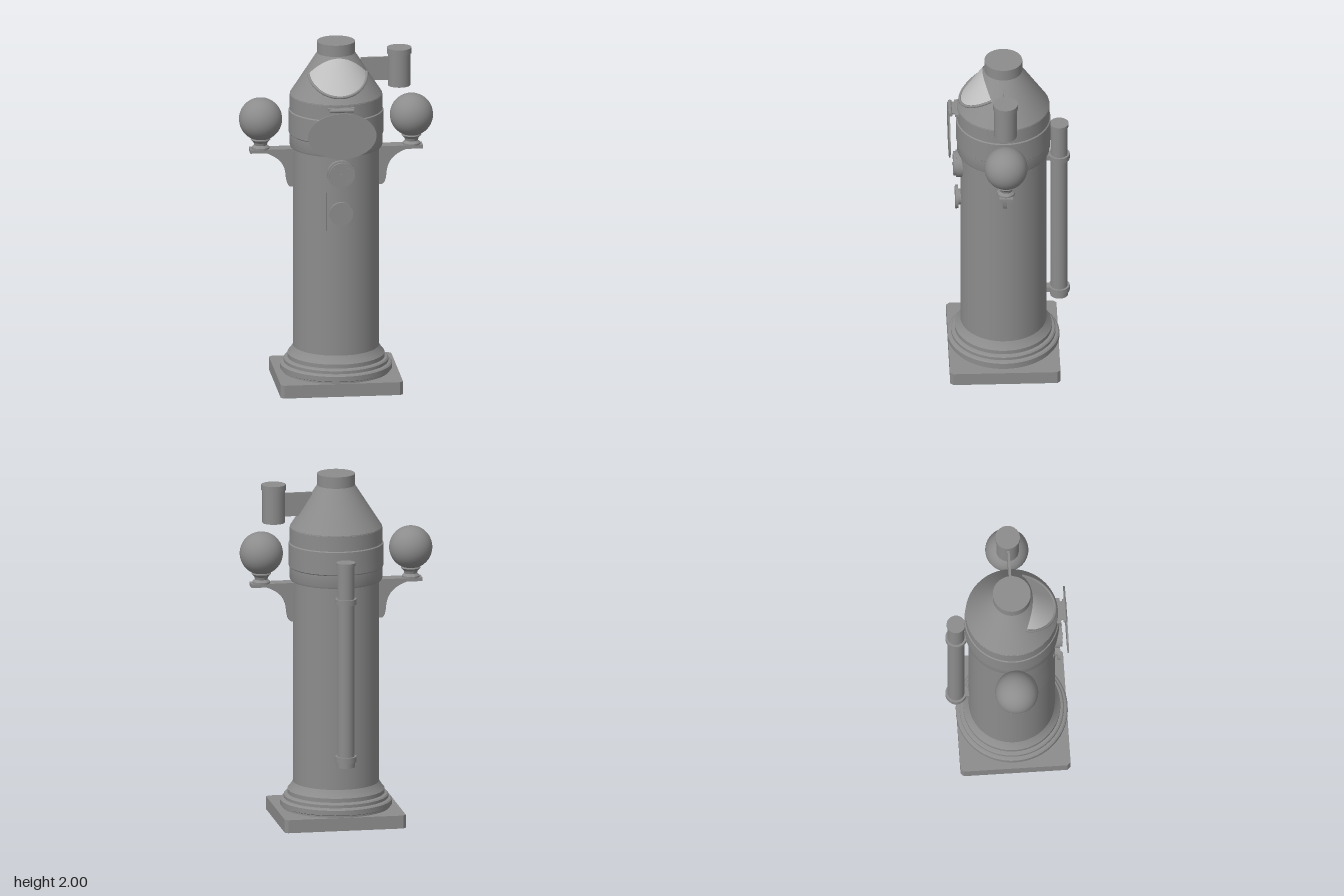
import * as THREE from 'three';
import { toCreasedNormals } from 'three/addons/utils/BufferGeometryUtils.js';

const metal = new THREE.MeshStandardMaterial({ color: 0x8c8c8c });
metal.name = 'grey metal';
metal.side = THREE.DoubleSide;
const glass = new THREE.MeshStandardMaterial({ color: 0xc2c2c2 });
glass.name = 'pale glass';
glass.side = THREE.DoubleSide;

function add(parent, name, geometry, x = 0, y = 0, z = 0, material = metal) {
  const mesh = new THREE.Mesh(geometry, material);
  mesh.name = name;
  mesh.position.set(x, y, z);
  parent.add(mesh);
  return mesh;
}
const box = (w, h, d) => new THREE.BoxGeometry(w, h, d);
const rod = (r, h, n = 32) => new THREE.CylinderGeometry(r, r, h, n);
const disc = (r, d) => rod(r, d, 40).rotateX(Math.PI / 2);
const lathe = (pts, n = 64) => toCreasedNormals(
  new THREE.LatheGeometry(pts.map(([r, y]) => new THREE.Vector2(r, y)), n), 0.45);

// Radius of the conical hood at height y
const SLOPE = 0.64, HOOD_R = 0.26, HOOD_Y = 1.695;
const hoodRadius = (y) => HOOD_R - SLOPE * (y - HOOD_Y);

// Point where the hood, at angle a, meets the plane z = 0.07 + m * (y - 1.83)
function hoodCut(a, m, lift = 0) {
  const c = Math.cos(a);
  const y = 1.83 + (hoodRadius(1.83) * c - 0.07) / (m + SLOPE * c);
  const r = hoodRadius(y) + lift;
  return new THREE.Vector3(r * Math.sin(a), y + lift * 0.5, r * c);
}

function buildWindow(parent) {
  const aMax = Math.acos(0.07 / hoodRadius(1.83));
  const N = 40, M = 6, pos = [], idx = [], lower = [];
  for (let i = 0; i <= N; i++) {
    const a = -aMax + (2 * aMax * i) / N;
    const lo = hoodCut(a, -1.68, 0.006), hi = hoodCut(a, 0.45, 0.006);
    lower.push(hoodCut(a, -1.68, 0.008));
    for (let j = 0; j <= M; j++) {
      // follow the cone between both edges
      pos.push(...lo.clone().lerp(hi, j / M).toArray());
      if (i < N && j < M) {
        const p = i * (M + 1) + j, q = p + M + 1;
        idx.push(p, q, q + 1, p, q + 1, p + 1);
      }
    }
  }
  const g = new THREE.BufferGeometry();
  g.setAttribute('position', new THREE.Float32BufferAttribute(pos, 3));
  g.setIndex(idx);
  g.computeVertexNormals();
  add(parent, 'hoodWindow', g, 0, 0, 0, glass);
  add(parent, 'windowLip', new THREE.TubeGeometry(
    new THREE.CatmullRomCurve3(lower), 60, 0.008, 8));
}

// Bracket, cup and ball on the +x side
function buildArm(name) {
  const arm = new THREE.Group();
  arm.name = name;
  const s = new THREE.Shape();
  s.moveTo(0.22, 1.365);
  s.lineTo(0.43, 1.365);
  s.bezierCurveTo(0.33, 1.34, 0.29, 1.29, 0.285, 1.22);
  s.quadraticCurveTo(0.28, 1.155, 0.255, 1.155);
  s.lineTo(0.22, 1.155);
  add(arm, 'gusset', new THREE.ExtrudeGeometry(s,
    { depth: 0.024, bevelEnabled: false, curveSegments: 12 }), 0, 0, -0.012);
  add(arm, 'shelf', box(0.26, 0.02, 0.076), 0.36, 1.373);
  add(arm, 'cup', lathe([[0, 1.38], [0.05, 1.38], [0.05, 1.392], [0.036, 1.405],
    [0.04, 1.42], [0.056, 1.437], [0.05, 1.45], [0, 1.45]], 32), 0.428);
  add(arm, 'ball', new THREE.SphereGeometry(0.122, 40, 28), 0.428, 1.555);
  return arm;
}

export function createModel() {
  const model = new THREE.Group();
  model.name = 'compassStand';
  const body = new THREE.Group();
  body.name = 'body';
  body.position.z = 0.03;
  model.add(body);

  // Plinth with clipped corners
  const w = 0.347, d = 0.311, c = 0.018;
  const plan = new THREE.Shape([[-w + c, -d], [w - c, -d], [w, -d + c], [w, d - c],
    [w - c, d], [-w + c, d], [-w, d - c], [-w, -d + c]].map((p) => new THREE.Vector2(...p)));
  add(body, 'plinth', new THREE.ExtrudeGeometry(plan,
    { depth: 0.075, bevelEnabled: false }).rotateX(-Math.PI / 2));

  // Moulded foot, column, collar and hood
  add(body, 'foot', lathe([[0.305, 0.07], [0.305, 0.085], [0.316, 0.09], [0.316, 0.118],
    [0.308, 0.125], [0.295, 0.128], [0.295, 0.145], [0.288, 0.152], [0.274, 0.155],
    [0.274, 0.178], [0.262, 0.192], [0.25, 0.21], [0.243, 0.222]]));
  add(body, 'column', new THREE.CylinderGeometry(0.243, 0.243, 1.2, 64, 1, true), 0, 0.81);
  add(body, 'collar', lathe([[0.24, 1.39], [0.258, 1.39], [0.262, 1.4], [0.262, 1.465],
    [0.267, 1.47], [0.267, 1.6], [0.261, 1.605], [0.261, 1.69], [0.258, 1.695], [0.25, 1.695]]));
  add(body, 'hood', lathe([[0.26, 1.69], [HOOD_R, HOOD_Y], [0.107, 1.934],
    [0.107, 2], [0, 2]]));
  buildWindow(body);

  // Balls on brackets
  body.add(buildArm('leftArm'));
  const right = buildArm('rightArm');
  right.rotation.y = Math.PI;
  body.add(right);

  // Side lamp on a thin plate
  add(body, 'lampPlate', box(0.16, 0.135, 0.014), 0.22, 1.83);
  add(body, 'lamp', rod(0.064, 0.2, 20), 0.358, 1.83);
  add(body, 'lampCap', rod(0.07, 0.032, 20), 0.358, 1.934);

  // Tube on the back, with caps, clamps and struts
  const tz = -0.315;
  add(body, 'backTube', rod(0.048, 1.17), 0, 0.96, tz);
  add(body, 'tubeTopCap', rod(0.053, 0.02), 0, 1.545, tz);
  add(body, 'tubeBottomCap', rod(0.051, 0.03), 0, 0.387, tz);
  for (const y of [0.418, 1.33]) {
    add(body, 'tubeClamp', rod(0.06, 0.032), 0, y, tz);
    add(body, 'tubeStrut', box(0.05, 0.03, 0.09), 0, y, -0.27);
  }

  // Oval cover hanging from a hinge on the collar
  add(body, 'ovalCover', disc(1, 0.008).scale(0.195, 0.133, 1), 0, 1.525, 0.307);
  add(body, 'hingePin', rod(0.011, 0.136, 12).rotateZ(Math.PI / 2), 0, 1.673, 0.3);
  add(body, 'hingePlate', box(0.11, 0.012, 0.06), 0, 1.673, 0.272);
  add(body, 'hingeRoot', box(0.15, 0.014, 0.026), 0, 1.673, 0.262);

  // Upper dial with a knob and small studs
  add(body, 'upperDialBack', disc(0.078, 0.04), 0, 1.29, 0.247);
  add(body, 'upperDialFace', disc(0.07, 0.016), 0, 1.29, 0.275);
  add(body, 'dialKnob', disc(0.008, 0.008), 0, 1.29, 0.285);
  for (let i = 0; i < 4; i++) {
    const a = Math.PI / 4 + (i * Math.PI) / 2;
    add(body, 'dialStud', disc(0.005, 0.004), 0.052 * Math.cos(a), 1.29 + 0.052 * Math.sin(a), 0.284);
  }

  // Lower plate on a stem
  add(body, 'lowerDial', disc(0.067, 0.016), 0, 1.06, 0.264);
  add(body, 'lowerDialStem', disc(0.045, 0.04), 0, 1.06, 0.245);

  // Curved door on the front right of the column
  const a0 = Math.asin(-0.225 / 0.249), a1 = Math.asin(-0.085 / 0.249);
  add(body, 'door', new THREE.CylinderGeometry(0.249, 0.249, 0.225, 20, 1, true, a0, a1 - a0), 0, 1.067);
  for (const a of [a0, a1]) {
    add(body, 'doorEdge', box(0.006, 0.225, 0.008),
      0.245 * Math.sin(a), 1.067, 0.245 * Math.cos(a)).rotation.y = a;
  }
  return model;
}
